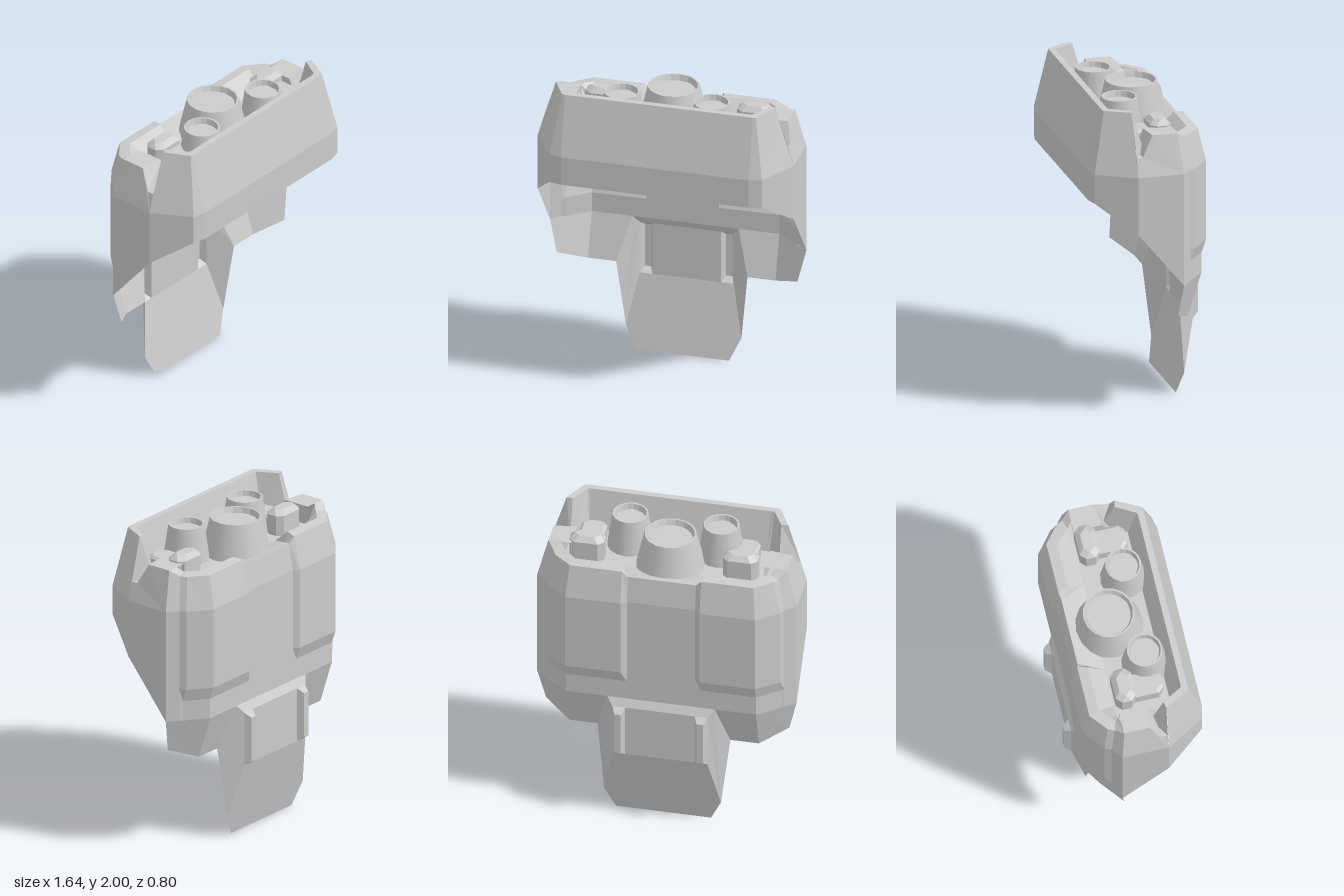
import * as THREE from 'three';

const grey = new THREE.MeshStandardMaterial({ color: 0xcccccc, side: THREE.DoubleSide, flatShading: true });
const smooth = new THREE.MeshStandardMaterial({ color: 0xcccccc, side: THREE.DoubleSide });

const flip = ([x, y, z]) => [-x, y, z];
// Complete a half row (outside to middle) with its mirrored half
const full = half => [...half, ...half.map(flip).reverse()];
// Complete a list of faces with mirrored faces
const both = faces => [...faces, ...faces.map(f => f.map(flip).reverse())];

// Quads between successive rows of points
function loft(rows) {
  const faces = [];
  for (let r = 0; r + 1 < rows.length; r++)
    for (let i = 0; i + 1 < rows[r].length; i++)
      faces.push([rows[r][i], rows[r + 1][i], rows[r + 1][i + 1], rows[r][i + 1]]);
  return faces;
}

// Flat-shaded sheet from convex polygons
function sheet(name, faces) {
  const pos = [];
  for (const f of faces)
    for (let i = 1; i + 1 < f.length; i++) pos.push(...f[0], ...f[i], ...f[i + 1]);
  const g = new THREE.BufferGeometry();
  g.setAttribute('position', new THREE.Float32BufferAttribute(pos, 3));
  g.computeVertexNormals();
  const m = new THREE.Mesh(g, grey);
  m.name = name;
  return m;
}

// Tapered socket with a thin lip and a sunken floor
function socket(name, x, z, base, top, floor, sides) {
  const group = new THREE.Group();
  group.name = name;
  const lathe = pts => new THREE.LatheGeometry(pts.map(p => new THREE.Vector2(...p)), 16);
  group.add(new THREE.Mesh(lathe([[base, 1.74], [top, 1.97]]), smooth));
  group.add(new THREE.Mesh(lathe([[top, 1.97], [top - 0.012, 1.97], [floor - 0.01, 1.93]]), grey));
  const disc = new THREE.CircleGeometry(floor, sides).rotateZ(Math.PI / sides).rotateX(-Math.PI / 2);
  const mesh = new THREE.Mesh(disc, grey);
  mesh.position.y = 1.935;
  group.add(mesh);
  group.position.set(x, 0, z);
  return group;
}

// Block with sides narrowing to the top and clipped corners
function clippedBlock(x0, x1, y0, y1, z0, z1, inset) {
  const c = 0.035;
  const ring = (y, d) => {
    const [a, b, e, f] = [x0 + d, x1 - d, z0 + d, z1 - d];
    return [[a + c, y, e], [b - c, y, e], [b, y, e + c], [b, y, f - c],
      [b - c, y, f], [a + c, y, f], [a, y, f - c], [a, y, e + c], [a + c, y, e]];
  };
  const mid = y1 - inset, top = ring(y1, inset);
  return [...loft([ring(y0, 0), ring(mid, 0), top]), top.slice(0, 8).reverse()];
}

export function createModel() {
  const model = new THREE.Group();
  model.name = 'torsoShell';

  // Wraparound front panel: inner wall, rim, sloped face, upright face
  model.add(sheet('frontPanel', [
    ...loft([
      [[0.66, 1.73, 0.06], [0.57, 1.73, 0.205], [0.55, 1.73, 0.205]],
      [[0.66, 2, 0.14], [0.59, 2, 0.265], [0.57, 2, 0.27]],
      [[0.70, 2, 0.15], [0.62, 2, 0.305], [0.60, 2, 0.31]],
      [[0.82, 1.61, 0.14], [0.68, 1.61, 0.38], [0.60, 1.61, 0.40]],
      [[0.82, 1.24, 0.14], [0.68, 1.42, 0.38], [0.60, 1.42, 0.40]]
    ].map(full)),
    ...both([[[0.70, 2, 0.15], [0.66, 2, 0.14], [0.66, 1.73, 0.06], [0.785, 1.73, 0.14]]])
  ]));

  // Side walls and shoulders
  model.add(sheet('sideWalls', both([
    [[0.82, 1.61, 0.14], [0.82, 1.24, 0.14], [0.82, 0.88, -0.155], [0.82, 1.61, -0.155]],
    [[0.82, 1.61, -0.155], [0.755, 1.86, -0.13], [0.755, 1.86, 0.03], [0.785, 1.73, 0.10],
      [0.785, 1.73, 0.14], [0.82, 1.61, 0.14]]
  ])));
  model.add(sheet('shoulders', both([
    [[0.755, 1.86, 0.03], [0.755, 1.86, -0.13], [0.61, 1.86, -0.13], [0.61, 1.86, 0.05]],
    [[0.755, 1.86, 0.03], [0.61, 1.86, 0.05], [0.61, 1.73, 0.10], [0.785, 1.73, 0.10]],
    [[0.61, 1.86, 0.05], [0.61, 1.86, -0.13], [0.61, 1.73, -0.13], [0.61, 1.73, 0.10]],
    [[0.785, 1.73, 0.14], [0.785, 1.73, 0.10], [0.61, 1.73, 0.10], [0.66, 1.73, 0.06]]
  ])));

  // Back wall with two raised pads
  const wall = (y, raised) => {
    const d = raised ? 0.028 : 0;
    return [[0.82, y, -0.155], [0.755, y, -0.21], [0.735, y, -0.222 - d],
      [0.60, y, -0.33 - d], [0.25, y, -0.33 - d], [0.215, y, -0.33]];
  };
  model.add(sheet('backWall', loft([
    [[0.61, 1.74, -0.13], [0.60, 1.74, -0.135], [0.58, 1.74, -0.14],
      [0.52, 1.74, -0.14], [0.30, 1.74, -0.14], [0.28, 1.74, -0.14]],
    [[0.68, 1.86, -0.13], [0.65, 1.83, -0.16], [0.63, 1.83, -0.18],
      [0.56, 1.83, -0.245], [0.27, 1.83, -0.245], [0.235, 1.77, -0.25]],
    [[0.755, 1.86, -0.13], [0.71, 1.82, -0.18], [0.69, 1.82, -0.22],
      [0.58, 1.82, -0.31], [0.25, 1.82, -0.31], [0.215, 1.78, -0.30]],
    wall(1.61, true), wall(1.09, true), wall(1.01, false), wall(0.88, false)
  ].map(full))));

  // Lower skirt on either side of the tail
  model.add(sheet('skirt', both(loft([
    [[0.82, 0.88, -0.155], [0.60, 0.88, -0.33], [0.34, 0.88, -0.33]],
    [[0.77, 0.67, -0.13], [0.60, 0.60, -0.24], [0.42, 0.60, -0.24]]
  ]))));

  // Top deck
  model.add(sheet('topDeck', [
    full([[0.66, 1.74, -0.14], [0.66, 1.74, 0.06], [0.57, 1.74, 0.205]]),
    full([[0.215, 1.78, -0.30], [0.235, 1.77, -0.25]]),
    full([[0.235, 1.77, -0.25], [0.28, 1.74, -0.14]])
  ]));

  // Sockets on the deck
  model.add(socket('centreSocket', 0, -0.05, 0.215, 0.162, 0.145, 8));
  for (const s of [1, -1]) model.add(socket('smallSocket', s * 0.288, 0.11, 0.145, 0.112, 0.1, 6));

  // Stepped blocks beside the sockets
  for (const x of [0.52, -0.45]) {
    model.add(sheet('deckBlock', [
      ...clippedBlock(x - 0.08, x + 0.08, 1.73, 1.84, -0.1, 0.18, 0.015),
      ...clippedBlock(x - 0.11, x + 0.11, 1.73, 1.90, -0.13, 0.0, 0.03)
    ]));
  }

  // Tail plate: top lip, flat middle, sloped end and side flanges
  const tailRow = (x, y, z) => full([[x, y, z]]);
  model.add(sheet('tail', [
    ...loft([tailRow(0.34, 0.88, -0.33), tailRow(0.30, 0.83, -0.36)]),
    ...loft([tailRow(0.22, 0.83, -0.36), tailRow(0.22, 0.48, -0.36)]),
    ...loft([tailRow(0.30, 0.48, -0.36), tailRow(0.37, 0.15, -0.284), tailRow(0.30, 0, -0.25)]),
    ...both([[[0.42, 0.60, -0.24], [0.34, 0.88, -0.33], [0.30, 0.83, -0.36],
      [0.30, 0.48, -0.36], [0.37, 0.15, -0.284]]])
  ]));

  // Hollow ribs on the tail
  const outer = [[0.22, 0.48], [0.30, 0.48], [0.30, 0.83], [0.22, 0.83], [0.22, 0.48]];
  const inner = [[0.24, 0.51], [0.28, 0.51], [0.28, 0.80], [0.24, 0.80], [0.24, 0.51]];
  const low = outer.map(([x, y]) => [x, y, -0.36]), high = inner.map(([x, y]) => [x, y, -0.40]);
  model.add(sheet('tailRibs', both([...loft([low, high]), high.slice(0, 4)])));

  return model;
}
